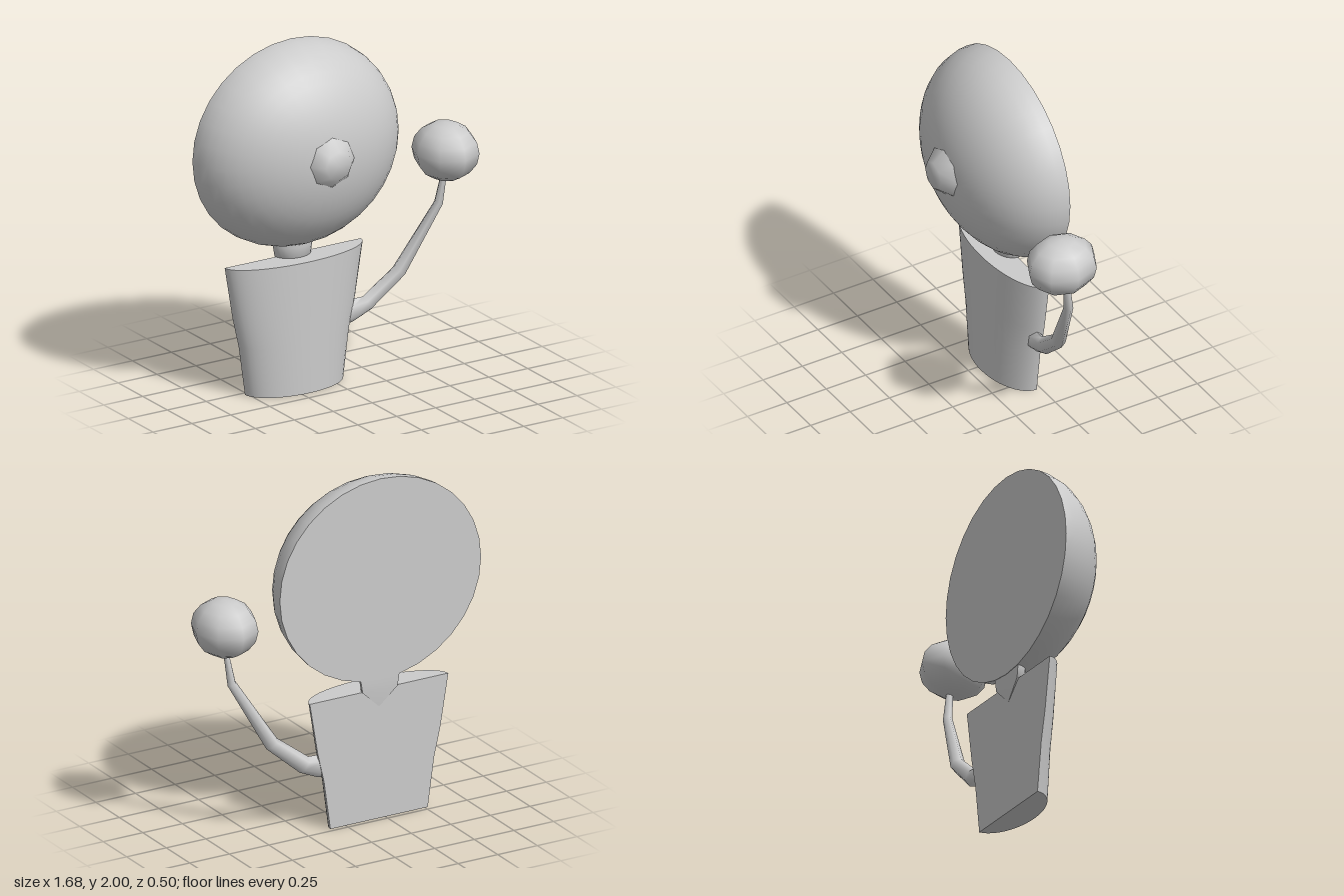
import * as THREE from 'three';
import { toCreasedNormals } from 'three/addons/utils/BufferGeometryUtils.js';

const grey = new THREE.MeshStandardMaterial({ color: 0xcccccc });

// Closed skin over equal-length rings of points, with a fan cap at each end.
function loft(rings, crease) {
  const n = rings[0].length;
  const last = rings.length - 1;
  const middle = ring => ring.reduce((s, p) => s.add(p), new THREE.Vector3()).divideScalar(n);
  const points = [...rings.flat(), middle(rings[0]), middle(rings[last])];
  const bottom = n * rings.length;
  const index = [];
  for (let i = 0; i < n; i++) {
    const k = (i + 1) % n;
    for (let j = 0; j < last; j++) {
      const a = j * n + i, b = j * n + k;
      index.push(a, a + n, b + n, a, b + n, b);
    }
    index.push(bottom, i, k, bottom + 1, last * n + k, last * n + i);
  }
  const geometry = new THREE.BufferGeometry().setFromPoints(points);
  geometry.setIndex(index);
  return toCreasedNormals(geometry, crease);
}

// Half-ellipse outline at one height: flat back, curved front.
function halfEllipse(x, y, back, halfWidth, depth, segments = 24) {
  return Array.from({ length: segments + 1 }, (_, i) => {
    const a = Math.PI * i / segments;
    return new THREE.Vector3(x + halfWidth * Math.cos(a), y, back + depth * Math.sin(a));
  });
}

// Tapering limb; each row is x, y, z, radius across, radius in z.
function limb(rows, sides) {
  const centres = rows.map(r => new THREE.Vector3(r[0], r[1], r[2]));
  const rings = rows.map((r, j) => {
    const along = centres[Math.min(j + 1, rows.length - 1)].clone()
      .sub(centres[Math.max(j - 1, 0)]).setZ(0).normalize();
    const across = along.cross(new THREE.Vector3(0, 0, 1));
    return Array.from({ length: sides }, (_, i) => {
      const a = 2 * Math.PI * i / sides;
      const p = centres[j].clone().addScaledVector(across, r[3] * Math.cos(a));
      p.z += r[4] * Math.sin(a);
      return p;
    });
  });
  return loft(rings, 1.3);
}

export function createModel() {
  const model = new THREE.Group();
  const add = (name, geometry, parent = model) => {
    const mesh = new THREE.Mesh(geometry, grey);
    mesh.name = name;
    parent.add(mesh);
    return mesh;
  };
  const cx = -0.21;

  // Flat-backed torso, flaring toward the shoulders
  add('torso', loft([
    [0, 0.307], [0.285, 0.347], [0.46, 0.387], [0.76, 0.437],
  ].map(([y, w]) => halfEllipse(cx, y, -0.225, w, 0.165)), 0.7));

  // Neck with a pointed root against the back
  add('neck', loft([
    [0.66, 0.004, -0.226, 0.004], [0.76, 0.11, -0.236, 0.09],
    [0.82, 0.12, -0.237, 0.095], [0.93, 0.125, -0.237, 0.1],
  ].map(([y, w, back, d]) => halfEllipse(cx, y, back, w, d, 12)), 0.7));

  // Half-ellipsoid head with a flat back
  const head = new THREE.Group();
  head.name = 'head';
  head.position.set(cx, 1.41, -0.24);
  model.add(head);
  const dome = new THREE.SphereGeometry(1, 32, 12, 0, Math.PI * 2, 0, Math.PI / 2);
  dome.rotateX(Math.PI / 2).scale(0.635, 0.59, 0.43);
  add('headDome', dome, head);
  add('headBack', new THREE.CircleGeometry(1, 32).rotateY(Math.PI).scale(0.635, 0.59, 1), head);

  // Blunt eight-sided nose
  const nose = new THREE.CylinderGeometry(0.083, 0.155, 0.085, 8).rotateX(Math.PI / 2);
  add('nose', toCreasedNormals(nose, 1)).position.set(cx, 1.41, 0.205);

  // Raised left arm
  add('leftArm', limb([
    [0.08, 0.36, -0.188, 0.07, 0.034],
    [0.145, 0.37, -0.188, 0.066, 0.036],
    [0.24, 0.395, -0.185, 0.05, 0.04],
    [0.43, 0.55, -0.16, 0.042, 0.042],
    [0.645, 0.925, -0.095, 0.026, 0.027],
    [0.667, 1.12, -0.068, 0.015, 0.018],
  ], 6));

  // Round low-poly hand
  const hand = new THREE.SphereGeometry(1, 8, 8).scale(0.18, 0.165, 0.205);
  add('leftHand', hand).position.set(0.658, 1.24, -0.045);

  return model;
}
